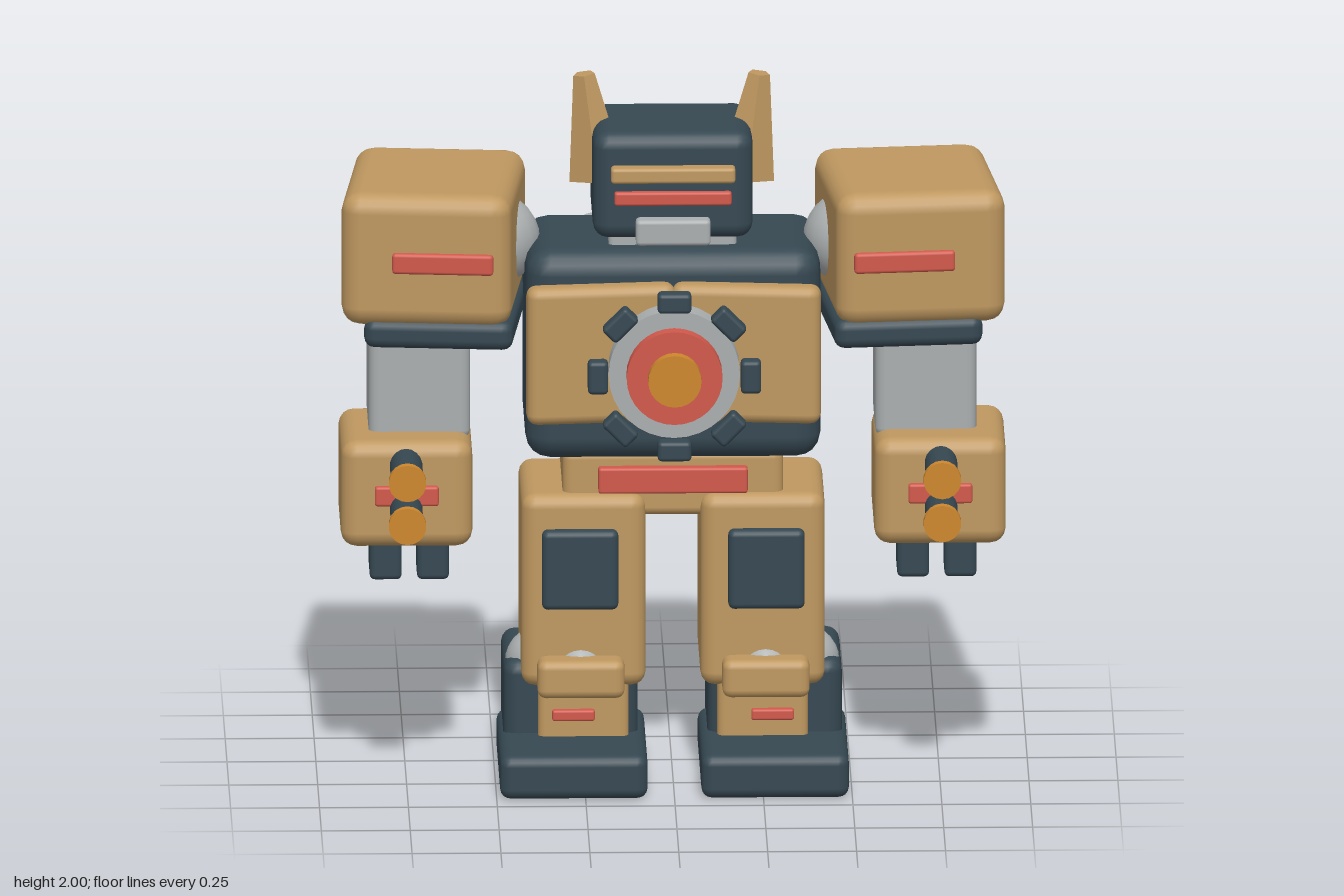
import * as THREE from 'three';
import { RoundedBoxGeometry } from 'three/addons/geometries/RoundedBoxGeometry.js';

const paint = (name, color) => {
  const m = new THREE.MeshStandardMaterial({ color });
  m.name = name;
  return m;
};

export function createModel() {
  const tan = paint('tan armour', 0xbf9860);
  const dark = paint('dark slate', 0x364852);
  const grey = paint('light grey', 0xabafb0);
  const red = paint('red', 0xd2594c);
  const orange = paint('orange', 0xcf882e);
  const cyan = paint('cyan', 0x35b8c8);

  const root = new THREE.Group();
  root.name = 'robot';

  const group = (name, parent = root) => {
    const g = new THREE.Group();
    g.name = name;
    parent.add(g);
    return g;
  };
  const add = (parent, name, geo, mat, x, y, z) => {
    const m = new THREE.Mesh(geo, mat);
    m.name = name;
    m.position.set(x, y, z);
    parent.add(m);
    return m;
  };
  // bevelled box by centre, size and bevel radius
  const box = (parent, name, mat, [x, y, z], [w, h, d], r = 0.02) =>
    add(parent, name, new RoundedBoxGeometry(w, h, d, 2, r), mat, x, y, z);
  // disc or rod along z, from z0 to z1
  const rod = (parent, name, mat, x, y, z0, z1, r, seg = 24) => {
    const m = add(parent, name, new THREE.CylinderGeometry(r, r, z1 - z0, seg), mat, x, y, (z0 + z1) / 2);
    m.rotation.x = Math.PI / 2;
    return m;
  };
  const ball = (parent, name, x, y, z, r) =>
    add(parent, name, new THREE.SphereGeometry(r, 20, 14), grey, x, y, z);

  // Torso and hips
  const torso = group('torso');
  box(torso, 'body', dark, [0, 1.235, 0], [0.83, 0.61, 0.48], 0.07);
  box(torso, 'hips', tan, [0, 0.855, 0.01], [0.62, 0.19, 0.36], 0.025);
  box(torso, 'beltPlate', red, [0, 0.87, 0.2], [0.42, 0.075, 0.04], 0.008);
  for (const s of [-1, 1]) {
    const plate = box(torso, 'chestPlate', tan, [s * 0.205, 1.26, 0.28], [0.42, 0.4, 0.08], 0.03);
    plate.rotation.y = -s * 0.1;
  }

  // Chest emblem disc with eight lugs
  const core = group('chestCore');
  core.position.set(0, 1.225, 0);
  rod(core, 'outerRing', grey, 0, 0, 0.28, 0.385, 0.185, 32);
  rod(core, 'redRing', red, 0, 0, 0.38, 0.43, 0.135, 32);
  rod(core, 'centreLens', orange, 0, 0, 0.42, 0.465, 0.075, 24);
  for (let i = 0; i < 8; i++) {
    const a = (i * Math.PI) / 4;
    const lug = box(core, 'lug', dark, [0.215 * Math.cos(a), 0.215 * Math.sin(a), 0.403], [0.057, 0.095, 0.055], 0.012);
    lug.rotation.z = a;
  }

  // Backpack with two thrusters
  const pack = group('backpack');
  box(pack, 'packBody', dark, [0, 1.25, -0.28], [0.65, 0.46, 0.24], 0.04);
  for (const s of [-1, 1]) {
    add(pack, 'thruster', new THREE.CylinderGeometry(0.07, 0.07, 0.34, 20), grey, s * 0.175, 1.3, -0.405);
    add(pack, 'thrusterGlow', new THREE.CylinderGeometry(0.06, 0.06, 0.08, 20), cyan, s * 0.175, 1.1, -0.405);
  }

  // Head
  const head = group('head');
  box(head, 'neck', grey, [0, 1.56, 0.01], [0.36, 0.1, 0.28], 0.015);
  box(head, 'skull', dark, [0, 1.72, 0.015], [0.45, 0.31, 0.375], 0.045);
  box(head, 'browBar', tan, [0, 1.763, 0.22], [0.35, 0.045, 0.05], 0.01);
  box(head, 'visor', red, [0, 1.69, 0.205], [0.33, 0.04, 0.03], 0.008);
  box(head, 'mouthGuard', grey, [0, 1.597, 0.21], [0.21, 0.075, 0.07], 0.012);
  for (const s of [-1, 1]) {
    const geo = new THREE.CylinderGeometry(0.032, 0.085, 0.3, 5).toNonIndexed();
    geo.computeVertexNormals();
    const horn = add(head, 'horn', geo, tan, s * 0.227, 1.85, 0);
    horn.rotation.z = -s * 0.13;
  }

  for (const s of [-1, 1]) {
    const side = s > 0 ? 'left' : 'right';

    // Shoulder armour, yawed outwards
    const arm = group(side + 'Arm');
    ball(arm, 'shoulderJoint', s * 0.5, 1.52, 0, 0.13);
    const pad = group('shoulder', arm);
    pad.position.set(s * 0.67, 1.528, 0.01);
    pad.rotation.y = s * 0.1;
    box(pad, 'shoulderArmour', tan, [0, 0, 0], [0.48, 0.385, 0.58], 0.055);
    box(pad, 'shoulderTrim', dark, [-s * 0.035, -0.213, 0], [0.42, 0.085, 0.565], 0.03);
    box(pad, 'shoulderStripe', red, [-s * 0.05, 0, 0.29], [0.285, 0.06, 0.03], 0.01);

    // Arm and hand
    box(arm, 'upperArm', grey, [s * 0.712, 1.15, 0], [0.285, 0.36, 0.305], 0.03);
    box(arm, 'elbow', dark, [s * 0.73, 0.985, -0.1], [0.2, 0.06, 0.1], 0.015);
    box(arm, 'forearm', tan, [s * 0.75, 0.845, 0.065], [0.37, 0.31, 0.42], 0.045);
    box(arm, 'wristPlate', red, [s * 0.75, 0.847, 0.277], [0.18, 0.057, 0.03], 0.008);
    for (const y of [0.935, 0.81]) {
      rod(arm, 'gunBarrel', dark, s * 0.752, y, 0.24, 0.452, 0.046, 18);
      rod(arm, 'gunMuzzle', orange, s * 0.752, y, 0.45, 0.477, 0.053, 18);
    }
    for (const x of [0.675, 0.808])
      box(arm, 'finger', dark, [s * x, 0.645, 0.135], [0.09, 0.12, 0.17], 0.015);

    // Leg
    const leg = group(side + 'Leg');
    box(leg, 'thigh', tan, [s * 0.252, 0.55, 0.003], [0.35, 0.56, 0.445], 0.04);
    box(leg, 'thighPlate', dark, [s * 0.262, 0.62, 0.24], [0.215, 0.23, 0.05], 0.018);
    box(leg, 'shin', tan, [s * 0.252, 0.21, 0.11], [0.255, 0.26, 0.2], 0.02);
    ball(leg, 'kneeJoint', s * 0.26, 0.315, 0.165, 0.09);
    box(leg, 'kneePad', tan, [s * 0.26, 0.31, 0.25], [0.245, 0.11, 0.1], 0.025);
    box(leg, 'shinStripe', red, [s * 0.28, 0.19, 0.215], [0.12, 0.032, 0.03], 0.007);
    ball(leg, 'ankleJoint', s * 0.375, 0.31, 0.07, 0.095);

    // Boot, foot and heel strips
    box(leg, 'boot', dark, [s * 0.287, 0.178, -0.028], [0.378, 0.315, 0.405], 0.04);
    box(leg, 'foot', dark, [s * 0.283, 0.063, 0.16], [0.415, 0.126, 0.56], 0.03);
    for (const x of [-0.05, 0.05])
      box(leg, 'heelStrip', grey, [s * 0.287 + x, 0.222, -0.225], [0.02, 0.245, 0.02], 0.004);
  }
  return root;
}
